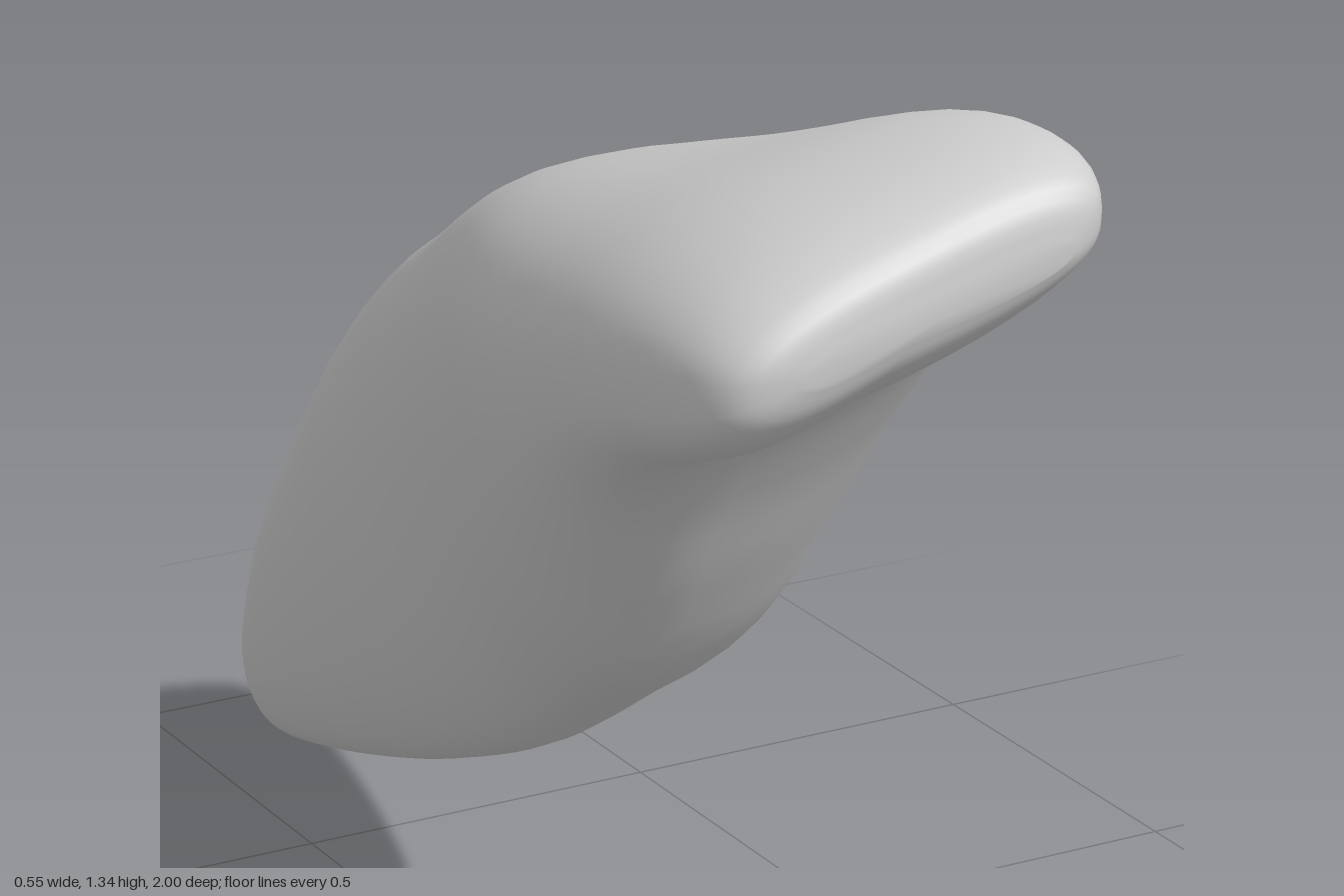
import * as THREE from 'three';

// Cross-sections from the biting edge to the root tip:
// upper z, upper y, lower z, lower y, x min, x max, roll, squareness
const SECTIONS = [
  [0.997, 1.215, 0.997, 1.17, -0.16, 0.17, 0.28, 2.6],
  [0.975, 1.27, 0.98, 1.13, -0.235, 0.22, 0.3, 2.7],
  [0.88, 1.305, 0.92, 1.08, -0.268, 0.25, 0.3, 2.7],
  [0.72, 1.3, 0.76, 1.0, -0.275, 0.27, 0.26, 2.6],
  [0.5, 1.24, 0.655, 0.88, -0.262, 0.265, 0.15, 2.4],
  [0.25, 1.165, 0.56, 0.73, -0.235, 0.25, 0.06, 2.3],
  [0.07, 1.085, 0.45, 0.59, -0.195, 0.245, 0, 2.2],
  [-0.12, 0.975, 0.26, 0.465, -0.14, 0.245, 0, 2.2],
  [-0.3, 0.87, 0.05, 0.335, -0.09, 0.247, 0, 2.2],
  [-0.48, 0.73, -0.2, 0.22, -0.045, 0.247, 0, 2.2],
  [-0.65, 0.555, -0.45, 0.125, 0, 0.245, 0, 2.2],
  [-0.8, 0.38, -0.68, 0.05, 0.045, 0.237, 0, 2.2],
  [-0.92, 0.2, -0.85, 0.005, 0.095, 0.217, 0, 2.1],
  [-0.98, 0.1, -0.935, 0.003, 0.135, 0.195, 0, 2],
  [-1.0, 0.055, -0.985, 0.03, 0.158, 0.178, 0, 2],
];
const SIDES = 48;
const STEPS = 5;

// Catmull-Rom blend of neighbouring cross-sections
function sectionAt(t) {
  const last = SECTIONS.length - 1;
  const i = Math.min(Math.floor(t), last - 1);
  const f = t - i;
  const at = (k) => SECTIONS[Math.max(0, Math.min(last, k))];
  const [a, b, c, d] = [at(i - 1), at(i), at(i + 1), at(i + 2)];
  return b.map((_, k) => 0.5 * (2 * b[k] + (c[k] - a[k]) * f
    + (2 * a[k] - 5 * b[k] + 4 * c[k] - d[k]) * f * f
    + (3 * b[k] - a[k] - 3 * c[k] + d[k]) * f * f * f));
}

function toothGeometry() {
  const positions = [];
  const index = [];
  const rings = (SECTIONS.length - 1) * STEPS + 1;

  // Rounded rings, with the lower edge leaning to -x
  for (let r = 0; r < rings; r++) {
    const [uz, uy, lz, ly, x0, x1, roll, n] = sectionAt(r / STEPS);
    const cx = (x0 + x1) / 2, w = (x1 - x0) / 2;
    for (let j = 0; j < SIDES; j++) {
      const a = (j / SIDES) * Math.PI * 2;
      const c = Math.cos(a), s = Math.sin(a);
      const px = Math.sign(c) * Math.abs(c) ** (2 / n);
      const v = Math.sign(s) * Math.abs(s) ** (2 / n);
      const lean = v < 0 ? -0.2 * w * v * v * (1 - Math.abs(px)) : 0;
      const k = (v + 1) / 2;
      positions.push(cx + w * px + lean, ly + (uy - ly) * k + roll * w * px, lz + (uz - lz) * k);
    }
  }
  for (let r = 0; r < rings - 1; r++) {
    for (let j = 0; j < SIDES; j++) {
      const a = r * SIDES + j, c = r * SIDES + (j + 1) % SIDES;
      index.push(a, a + SIDES, c, a + SIDES, c + SIDES, c);
    }
  }

  // Close both ends
  for (const [r, front] of [[0, true], [rings - 1, false]]) {
    const [uz, uy, lz, ly, x0, x1] = sectionAt(r / STEPS);
    const centre = positions.length / 3;
    positions.push((x0 + x1) / 2, (uy + ly) / 2, (uz + lz) / 2 + (front ? 0.003 : -0.006));
    for (let j = 0; j < SIDES; j++) {
      const a = r * SIDES + j, b = r * SIDES + (j + 1) % SIDES;
      index.push(centre, front ? a : b, front ? b : a);
    }
  }

  const geometry = new THREE.BufferGeometry();
  geometry.setAttribute('position', new THREE.Float32BufferAttribute(positions, 3));
  geometry.setIndex(index);
  geometry.computeVertexNormals();
  return geometry;
}

export function createModel() {
  const group = new THREE.Group();
  group.name = 'incisorTooth';
  const enamel = new THREE.MeshStandardMaterial({ color: 0xcccccc });
  enamel.name = 'light grey';
  const tooth = new THREE.Mesh(toothGeometry(), enamel);
  tooth.name = 'crownAndRoot';
  group.add(tooth);
  return group;
}
